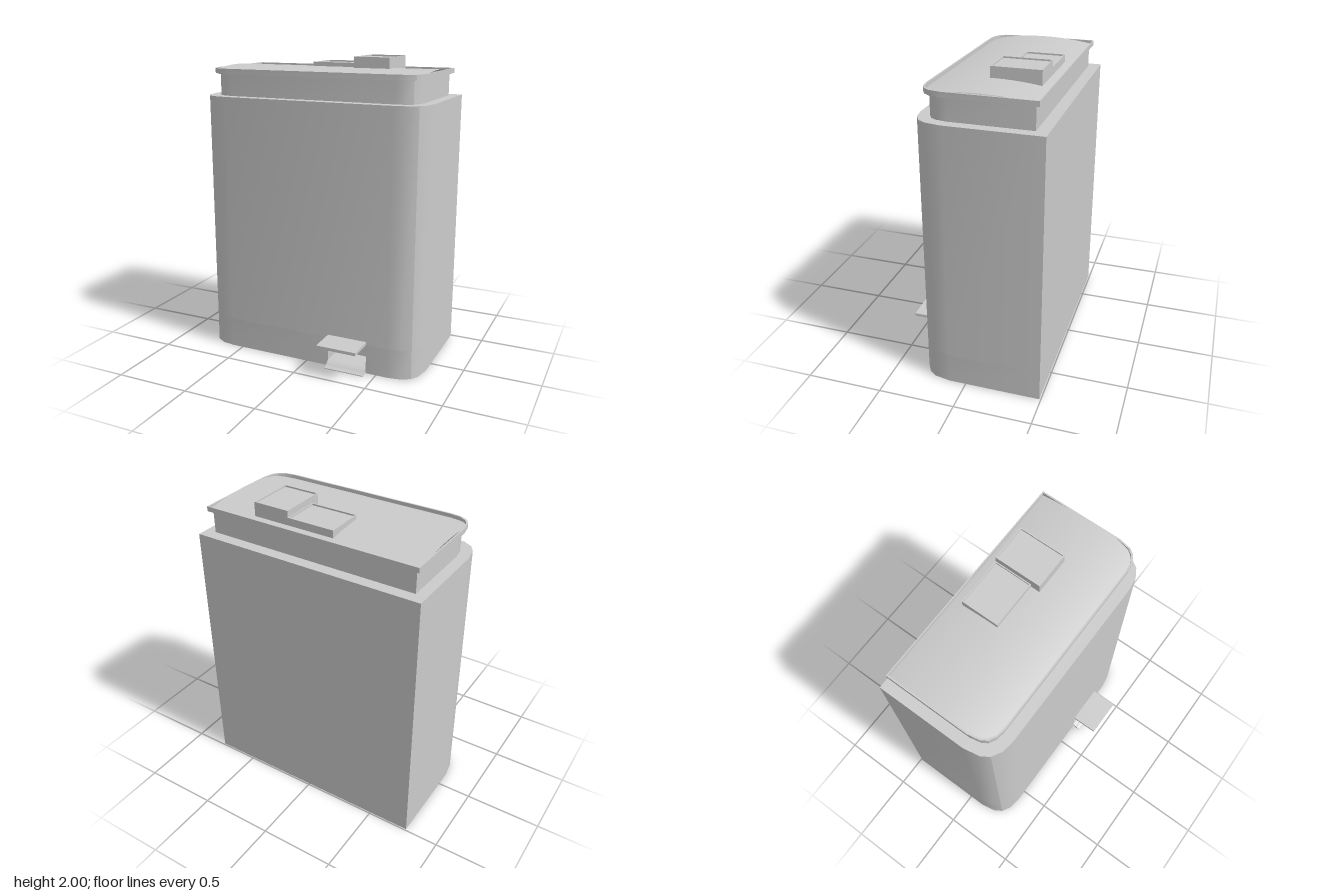
import * as THREE from 'three';
import { toCreasedNormals } from 'three/addons/utils/BufferGeometryUtils.js';

const material = new THREE.MeshStandardMaterial({ color: 0xcccccc, side: THREE.DoubleSide });

// Squarish rounded corner, as fractions of the corner radius
const CORNER = [[0, 1], [0.1, 0.48], [0.26, 0.24], [0.56, 0.065], [1, 0]];

// Plan outline as [x, z]: square at the back, rounded at the front
function outline(hw, back, front, r) {
  const right = CORNER.map(([a, b]) => [hw - a * r, front - b * r]).reverse();
  const left = right.map(([x, z]) => [-x, z]).reverse();
  return [[-hw, back], ...left, ...right, [hw, back]];
}

// Vertical wall following a plan path
function wall(path, y0, y1, closed = true) {
  const pos = [];
  const n = closed ? path.length : path.length - 1;
  for (let i = 0; i < n; i++) {
    const [ax, az] = path[i], [bx, bz] = path[(i + 1) % path.length];
    pos.push(ax, y0, az, bx, y0, bz, bx, y1, bz, ax, y0, az, bx, y1, bz, ax, y1, az);
  }
  const g = new THREE.BufferGeometry();
  g.setAttribute('position', new THREE.Float32BufferAttribute(pos, 3));
  return toCreasedNormals(g, 0.45);
}

const toShape = (path) => new THREE.Shape(path.map(([x, z]) => new THREE.Vector2(x, -z)));

// Flat horizontal ring between two outlines
function ring(outer, inner, y) {
  const s = toShape(outer);
  s.holes.push(toShape(inner));
  return new THREE.ShapeGeometry(s).rotateX(-Math.PI / 2).translate(0, y, 0);
}

function box(x0, x1, y0, y1, z0, z1) {
  return new THREE.BoxGeometry(x1 - x0, y1 - y0, z1 - z0)
    .translate((x0 + x1) / 2, (y0 + y1) / 2, (z0 + z1) / 2);
}

// Half width of an outline at depth z
function halfWidth(path, z) {
  const side = path.filter(([x]) => x > 0).reverse();
  for (let i = 0; i < side.length - 1; i++) {
    const [ax, az] = side[i], [bx, bz] = side[i + 1];
    if (z <= bz + 1e-6 && bz > az) return ax + (bx - ax) * (z - az) / (bz - az);
  }
  return side[side.length - 1][0];
}

export function createModel() {
  const model = new THREE.Group();
  const add = (name, geometry, parent = model) => {
    const mesh = new THREE.Mesh(geometry, material);
    mesh.name = name;
    parent.add(mesh);
    return mesh;
  };
  const group = (name) => {
    const g = new THREE.Group();
    g.name = name;
    model.add(g);
    return g;
  };

  const body = outline(0.775, -0.49, 0.31, 0.2);
  const neck = outline(0.705, -0.415, 0.24, 0.14);
  const lidOuter = outline(0.73, -0.44, 0.268, 0.15);
  const lidInner = outline(0.72, -0.432, 0.258, 0.145);
  const px0 = 0.16, px1 = 0.43;

  // Body shell, open underneath, with a gap in the front for the pedal
  const shell = group('body');
  const half = body.length / 2;
  const gapped = [[px1, 0.31], ...body.slice(half), ...body.slice(0, half), [px0, 0.31]];
  add('bodyWall', wall(body, 0.2, 1.745), shell);
  add('bodyBase', wall(gapped, 0, 0.2, false), shell);
  add('shoulder', ring(body, neck, 1.745), shell);
  add('neck', wall(neck, 1.745, 1.9), shell);

  // Pedal, its recess and the curved kick plate below
  const pedal = group('pedalUnit');
  add('pedal', box(px0, px1, 0.2, 0.22, 0.16, 0.49), pedal);
  add('recessWall', wall([[px0, 0.31], [px0, 0.16], [px1, 0.16], [px1, 0.31]], 0, 0.2, false), pedal);
  const ramp = new THREE.Shape();
  [[0.16, 0.03], [0.16, 0.04], [0.31, 0.04], [0.33, 0.028], [0.345, 0.015], [0.365, 0.005],
    [0.365, 0], [0.34, 0.002], [0.31, 0.03]]
    .forEach(([z, y], i) => (i ? ramp.lineTo(z, y) : ramp.moveTo(z, y)));
  const plate = new THREE.ExtrudeGeometry(ramp, { depth: px1 - px0, bevelEnabled: false });
  add('kickPlate', plate.rotateY(-Math.PI / 2).translate(px1, 0, 0), pedal);

  // Lid rim
  const lid = group('lid');
  add('rimOuter', wall(lidOuter, 1.89, 1.922), lid);
  add('rimInner', wall([...lidInner].reverse(), 1.885, 1.922), lid);
  add('rimTop', ring(lidOuter, lidInner, 1.922), lid);
  add('rimUnderside', ring(lidOuter, neck, 1.89).scale(1, 1, 1), lid);

  // Lid panel, arched from back to front
  const panel = new THREE.PlaneGeometry(2, 0.69, 1, 48).rotateX(-Math.PI / 2);
  const p = panel.attributes.position;
  for (let i = 0; i < p.count; i++) {
    const z = p.getZ(i) - 0.087;
    const t = (z + 0.087) / 0.345;
    p.setXYZ(i, p.getX(i) * halfWidth(lidInner, z), 1.93 - 0.032 * t * t, z);
  }
  panel.computeVertexNormals();
  add('lidPanel', panel, lid);

  // Two buttons with thin raised edges
  const button = (name, x0, x1, z0, z1, top) => {
    const g = group(name);
    const e = 0.007, drop = 0.01;
    const rect = (m) => [[x0 + m, z0 + m], [x0 + m, z1 - m], [x1 - m, z1 - m], [x1 - m, z0 + m]];
    add('buttonCore', box(x0 + e, x1 - e, 1.905, top - drop, z0 + e, z1 - e), g);
    add('buttonWall', wall(rect(0), 1.905, top), g);
    add('buttonEdge', ring(rect(0), rect(e), top), g);
    add('buttonInnerWall', wall(rect(e).reverse(), top - drop, top), g);
  };
  button('lowButton', -0.145, 0.17, -0.37, -0.12, 1.957);
  button('tallButton', 0.17, 0.413, -0.37, -0.06, 2.0);

  return model;
}
